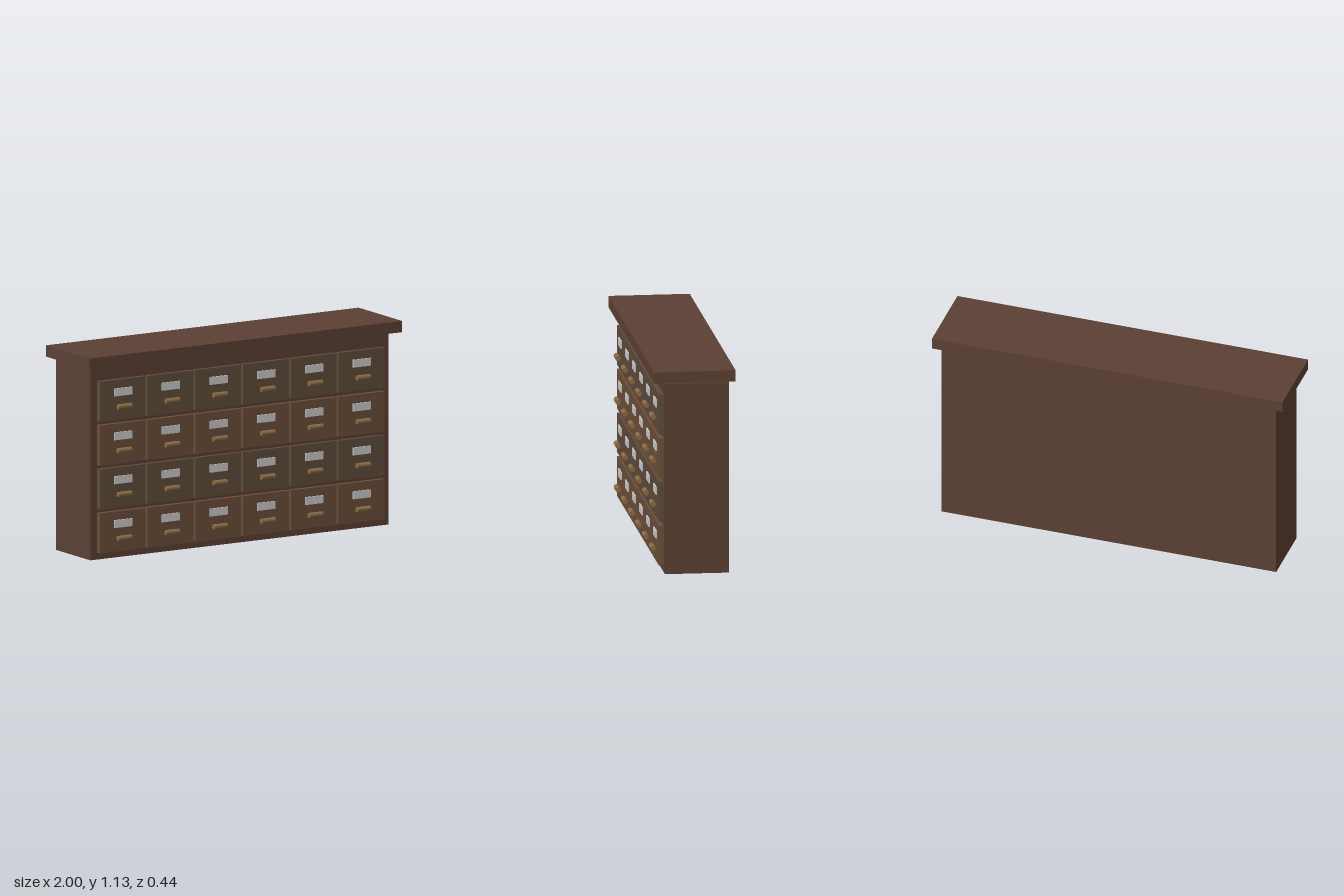
import * as THREE from 'three';

const paint = (color) => new THREE.MeshStandardMaterial({ color });

export function createModel() {
  const model = new THREE.Group();
  model.name = 'drawerCabinet';
  const wood = paint(0x5c4033);
  const drawerWoods = [paint(0x6b4f3a), paint(0x5f4b3b)];
  const paper = paint(0xe6e6e6);
  const brass = paint(0x8b6b43);

  function add(parent, name, geometry, material, x, y, z) {
    const mesh = new THREE.Mesh(geometry, material);
    mesh.name = name;
    mesh.position.set(x, y, z);
    parent.add(mesh);
    return mesh;
  }

  // Carcass and overhanging top, with a narrow shadow gap between them
  add(model, 'cabinetBody', new THREE.BoxGeometry(1.908, 1.054, 0.35), wood, 0, 0.527, -0.017);
  add(model, 'topSlab', new THREE.BoxGeometry(2, 0.062, 0.444), wood, 0, 1.098, 0);

  // Grid of drawers, each with a label plate and a round bar handle
  const columns = 6, rows = 4, stepX = 0.3055, stepY = 0.2422;
  const frontGeo = new THREE.BoxGeometry(0.293, 0.221, 0.028);
  const labelGeo = new THREE.BoxGeometry(0.115, 0.043, 0.008);
  const handleGeo = new THREE.CylinderGeometry(0.0145, 0.0145, 0.085, 12).rotateZ(Math.PI / 2);

  for (let row = 0; row < rows; row++) {
    for (let col = 0; col < columns; col++) {
      const drawer = new THREE.Group();
      drawer.name = 'drawer';
      drawer.position.set((col - (columns - 1) / 2) * stepX, 0.149 + row * stepY, 0);
      add(drawer, 'drawerFront', frontGeo, drawerWoods[row % 2], 0, 0, 0.171);
      add(drawer, 'labelPlate', labelGeo, paper, 0, 0.042, 0.188);
      add(drawer, 'handle', handleGeo, brass, 0, -0.036, 0.203);
      model.add(drawer);
    }
  }
  return model;
}
